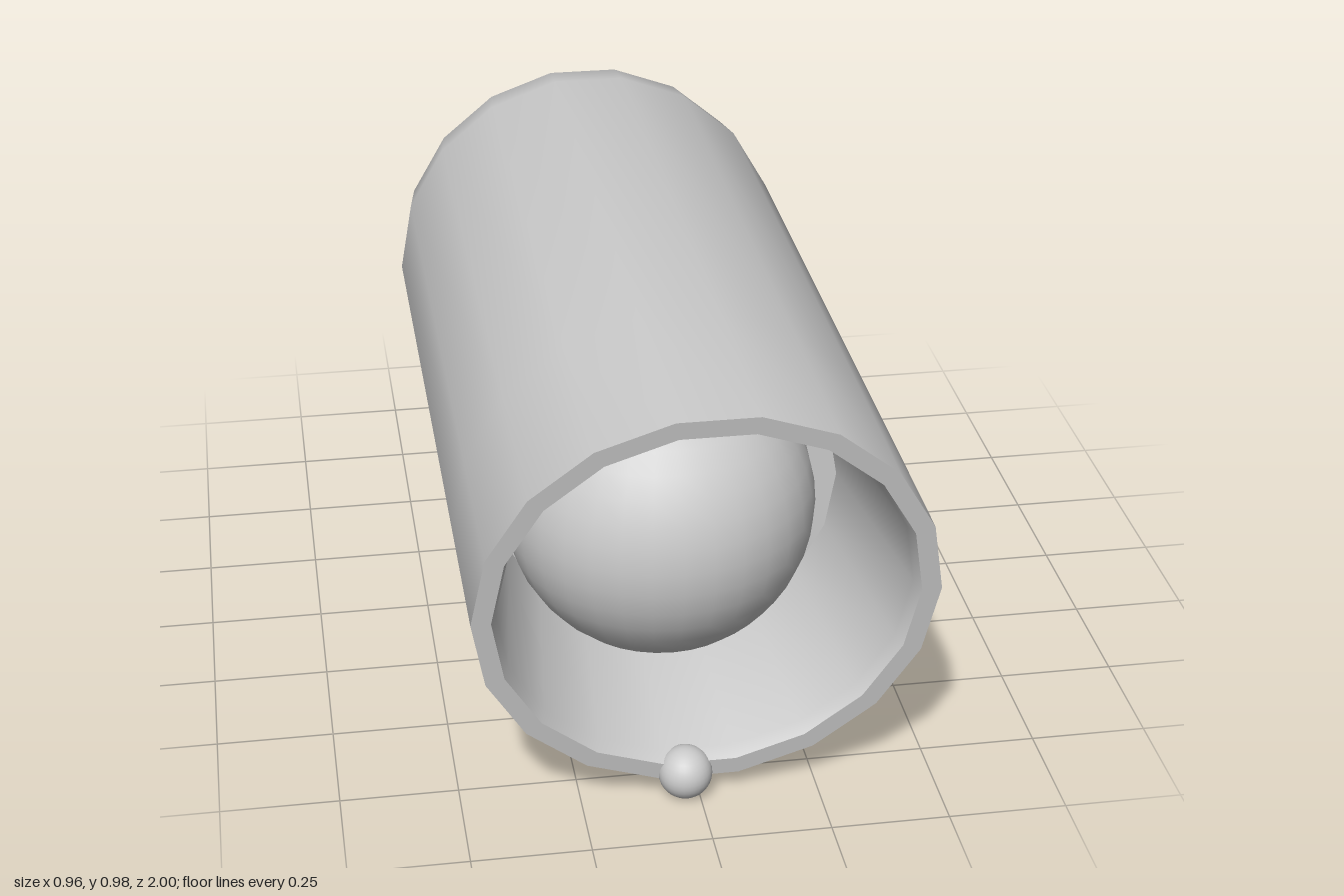
import * as THREE from 'three';
import { toCreasedNormals } from 'three/addons/utils/BufferGeometryUtils.js';

const SIDES = 18;
const AXIS_Y = 0.512;
const TILT = THREE.MathUtils.degToRad(10);
const RIM_Z = 0.92;

export function createModel() {
  const group = new THREE.Group();
  group.name = 'canister';
  const material = new THREE.MeshStandardMaterial({ color: 0xcccccc });

  const add = (name, geometry, x, y, z) => {
    const mesh = new THREE.Mesh(geometry, material);
    mesh.name = name;
    mesh.position.set(x, y, z);
    group.add(mesh);
  };

  // Turned section along z from [radius, z] pairs; rings near the mouth lean forward at the top
  const turned = (name, profile) => {
    const points = profile.map(([r, z]) => new THREE.Vector2(r, z));
    const geometry = new THREE.LatheGeometry(points, SIDES, Math.PI / 2);
    geometry.rotateX(Math.PI / 2);
    const p = geometry.attributes.position;
    for (let i = 0; i < p.count; i++) {
      const y = p.getY(i), z = p.getZ(i);
      if (z < 0.8) continue;
      const dz = z - RIM_Z;
      p.setY(i, y * Math.cos(TILT) - dz * Math.sin(TILT));
      p.setZ(i, RIM_Z + y * Math.sin(TILT) + dz * Math.cos(TILT));
    }
    add(name, toCreasedNormals(geometry, 0.8), 0, AXIS_Y, 0);
  };

  // Hollow body with rounded back edge and slanted mouth
  turned('backCap', [[0, -1], [0.313, -1]]);
  turned('outerShell', [[0.313, -1], [0.41, -0.975], [0.46, -0.91], [0.478, -0.8], [0.478, 0.55], [0.478, RIM_Z]]);
  turned('rim', [[0.478, RIM_Z], [0.437, RIM_Z]]);
  turned('innerWall', [[0.437, RIM_Z], [0.425, 0.89], [0.37, 0.42]]);
  turned('innerFloor', [[0.37, 0.42], [0, 0.42]]);

  // Large ball seated in the mouth, small bead on the lower rim
  add('innerBall', new THREE.SphereGeometry(0.335, 32, 20), -0.025, 0.505, 0.45);
  add('rimBead', new THREE.SphereGeometry(0.057, 32, 16), -0.03, 0.059, 0.835);

  return group;
}
